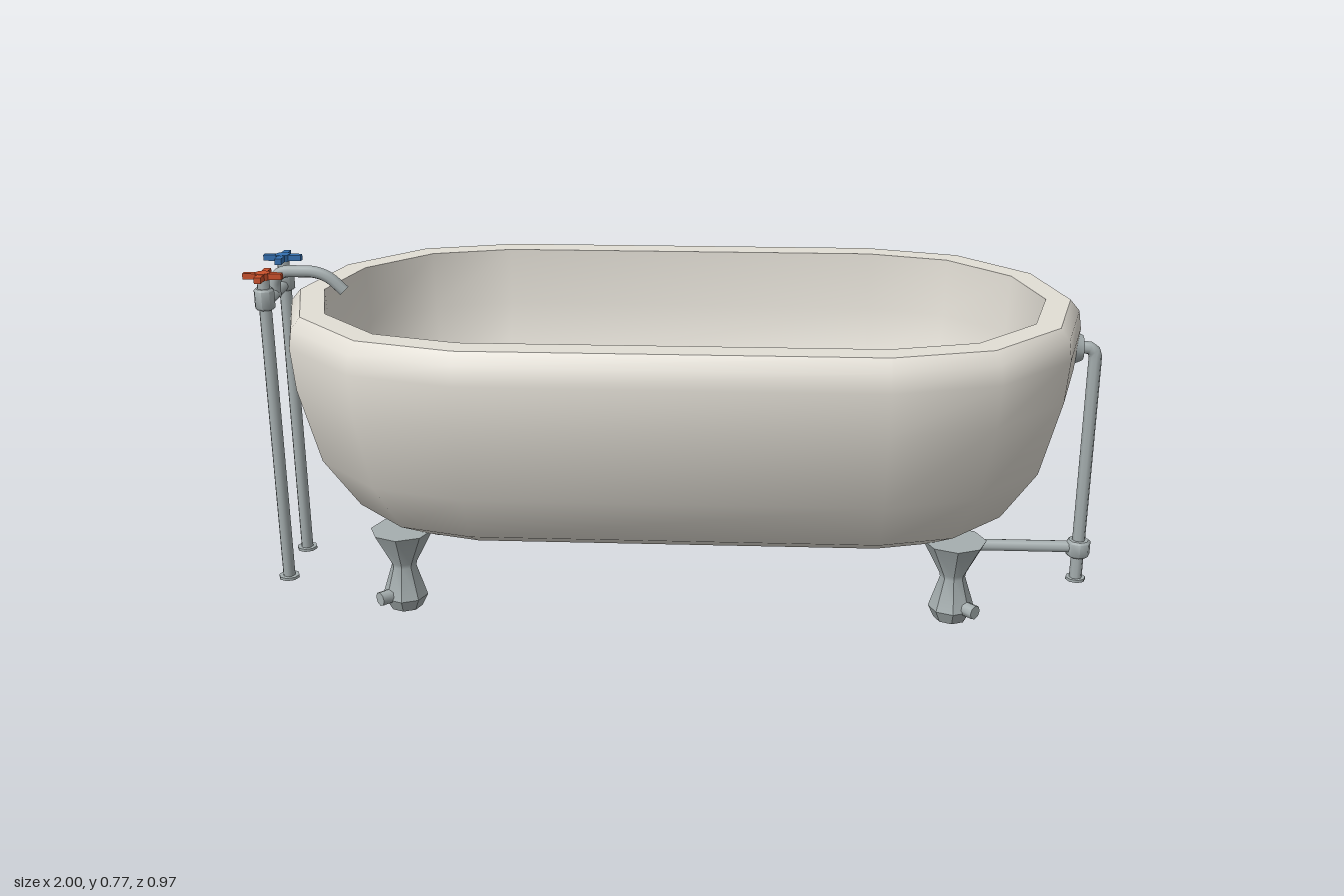
import * as THREE from 'three';
import { toCreasedNormals } from 'three/addons/utils/BufferGeometryUtils.js';

const V = (x, y, z = 0) => new THREE.Vector3(x, y, z);

export function createModel() {
  const model = new THREE.Group();
  model.name = 'bathtub';

  const material = (name, color) => {
    const m = new THREE.MeshStandardMaterial({ color });
    m.name = name;
    return m;
  };
  const enamel = material('enamel', 0xe2ded5);
  const metal = material('metal', 0xa5aeaf);
  const hotRed = material('hotRed', 0xca502b);
  const coldBlue = material('coldBlue', 0x3470b0);

  const add = (name, geometry, mat, x = 0, y = 0, z = 0, parent = model) => {
    const mesh = new THREE.Mesh(geometry, mat);
    mesh.name = name;
    mesh.position.set(x, y, z);
    parent.add(mesh);
    return mesh;
  };

  // Upright cylinder placed by its bottom and top heights
  const post = (name, r, y0, y1, x, z, parent = model) =>
    add(name, toCreasedNormals(new THREE.CylinderGeometry(r, r, y1 - y0, 8), 0.8), metal, x, (y0 + y1) / 2, z, parent);

  // Collar with chamfered ends around an upright pipe
  const collar = (name, r, y0, y1, x, z, parent = model) => {
    const c = 0.005;
    const points = [[0, y0], [r - c, y0], [r, y0 + c], [r, y1 - c], [r - c, y1], [0, y1]].map((p) => new THREE.Vector2(...p));
    return add(name, toCreasedNormals(new THREE.LatheGeometry(points, 8), 0.8), metal, x, 0, z, parent);
  };

  // Pipe through straight runs with rounded corners
  const pipe = (name, points, r, bend) => {
    const path = new THREE.CurvePath();
    let from = points[0];
    for (let i = 1; i < points.length - 1; i++) {
      const p = points[i];
      const a = p.clone().add(points[i - 1].clone().sub(p).setLength(bend));
      const b = p.clone().add(points[i + 1].clone().sub(p).setLength(bend));
      path.add(new THREE.LineCurve3(from, a));
      path.add(new THREE.QuadraticBezierCurve3(a, p, b));
      from = b;
    }
    path.add(new THREE.LineCurve3(from, points[points.length - 1]));
    return add(name, new THREE.TubeGeometry(path, 48, r, 8), metal);
  };

  // Tub: [radius, height] from the underside, up over the rim, down to the floor
  const profile = [
    [0, 0.182], [0.25, 0.184], [0.345, 0.235], [0.43, 0.36], [0.478, 0.54],
    [0.487, 0.64], [0.48, 0.683], [0.457, 0.709], [0.398, 0.709],
    [0.39, 0.57], [0.355, 0.415], [0.29, 0.315], [0.21, 0.27], [0, 0.25],
  ];
  const outline = [];
  for (const [start, cx] of [[-90, 0.457], [90, -0.457]])
    for (let k = 0; k <= 6; k++) outline.push([THREE.MathUtils.degToRad(start + k * 30), cx]);
  const n = outline.length;
  const positions = [], indices = [];
  profile.forEach(([r, y], j) => {
    outline.forEach(([a, cx], i) => {
      positions.push(cx + 0.965 * r * Math.cos(a), y, r * Math.sin(a));
      if (j === profile.length - 1) return;
      const p = j * n + i, q = j * n + (i + 1) % n;
      if (r > 0 || i % 7 === 6) indices.push(p, p + n, q);
      if (profile[j + 1][0] > 0 || i % 7 === 6) indices.push(q, p + n, q + n);
    });
  });
  const tub = new THREE.BufferGeometry();
  tub.setAttribute('position', new THREE.Float32BufferAttribute(positions, 3));
  tub.setIndex(indices);
  add('tub', toCreasedNormals(tub, 0.8), enamel, 0.004);

  // Four flared, faceted feet, each with a claw knob pointing outwards
  const footProfile = [[0, 0], [0.038, 0], [0.053, 0.03], [0.029, 0.105], [0.031, 0.115], [0.073, 0.196], [0, 0.196]]
    .map(([r, y]) => new THREE.Vector2(r, y));
  const footGeometry = toCreasedNormals(new THREE.LatheGeometry(footProfile, 8), 0.5);
  const knobGeometry = toCreasedNormals(new THREE.CylinderGeometry(0.017, 0.017, 0.04, 8).rotateX(Math.PI / 2), 0.8);
  for (const sx of [-1, 1]) {
    for (const sz of [-1, 1]) {
      const foot = new THREE.Group();
      foot.name = 'foot';
      foot.position.set(0.64 * sx + 0.003, 0, 0.22 * sz);
      model.add(foot);
      add('footBody', footGeometry, metal, 0, 0, 0, foot);
      add('clawKnob', knobGeometry, metal, 0.036 * sx, 0.037, 0.036 * sz, foot).rotation.y = Math.atan2(sx, sz);
    }
  }

  // Hot and cold supply pipes with cross handles
  const tapX = -0.955;
  for (const [name, z, colour] of [['hotTap', 0.085, hotRed], ['coldTap', -0.085, coldBlue]]) {
    const tap = new THREE.Group();
    tap.name = name;
    model.add(tap);
    post('floorFlange', 0.025, 0, 0.007, tapX, z, tap);
    post('supplyPipe', 0.015, 0.005, 0.757, tapX, z, tap);
    collar('valveCollar', 0.024, 0.684, 0.734, tapX, z, tap);
    const hub = new THREE.CylinderGeometry(0.018, 0.018, 0.016, 8);
    add('handleHub', toCreasedNormals(hub, 0.8), colour, tapX, 0.763, z, tap);
    add('handleBarAcross', new THREE.BoxGeometry(0.09, 0.014, 0.016), colour, tapX, 0.763, z, tap);
    add('handleBarAlong', new THREE.BoxGeometry(0.016, 0.014, 0.088), colour, tapX, 0.763, z, tap);
  }

  // Mixer bar and spout reaching over the rim
  add('mixerBar', new THREE.CylinderGeometry(0.013, 0.013, 0.17, 8).rotateX(Math.PI / 2), metal, tapX, 0.697, 0);
  pipe('spout', [V(tapX, 0.69), V(tapX, 0.752), V(-0.835, 0.752), V(-0.79, 0.706)], 0.0145, 0.04);
  const spoutEnd = add('spoutEnd', new THREE.CircleGeometry(0.0145, 8), metal, -0.79, 0.706, 0);
  spoutEnd.lookAt(-0.745, 0.66, 0);

  // Overflow plate and waste pipes
  const wasteX = 0.97;
  add('overflowPlate', toCreasedNormals(new THREE.CylinderGeometry(0.039, 0.03, 0.02, 12).rotateZ(-Math.PI / 2).rotateY(Math.PI), 0.8),
    metal, 0.928, 0.594, 0);
  pipe('overflowPipe', [V(0.915, 0.595), V(wasteX, 0.595), V(wasteX, 0.002)], 0.0155, 0.026);
  post('wasteFlange', 0.024, 0, 0.007, wasteX, 0);
  collar('wasteCollar', 0.029, 0.064, 0.106, wasteX, 0);
  pipe('wastePipe', [V(wasteX, 0.087), V(0.677, 0.087), V(0.677, 0.215)], 0.015, 0.04);

  return model;
}
